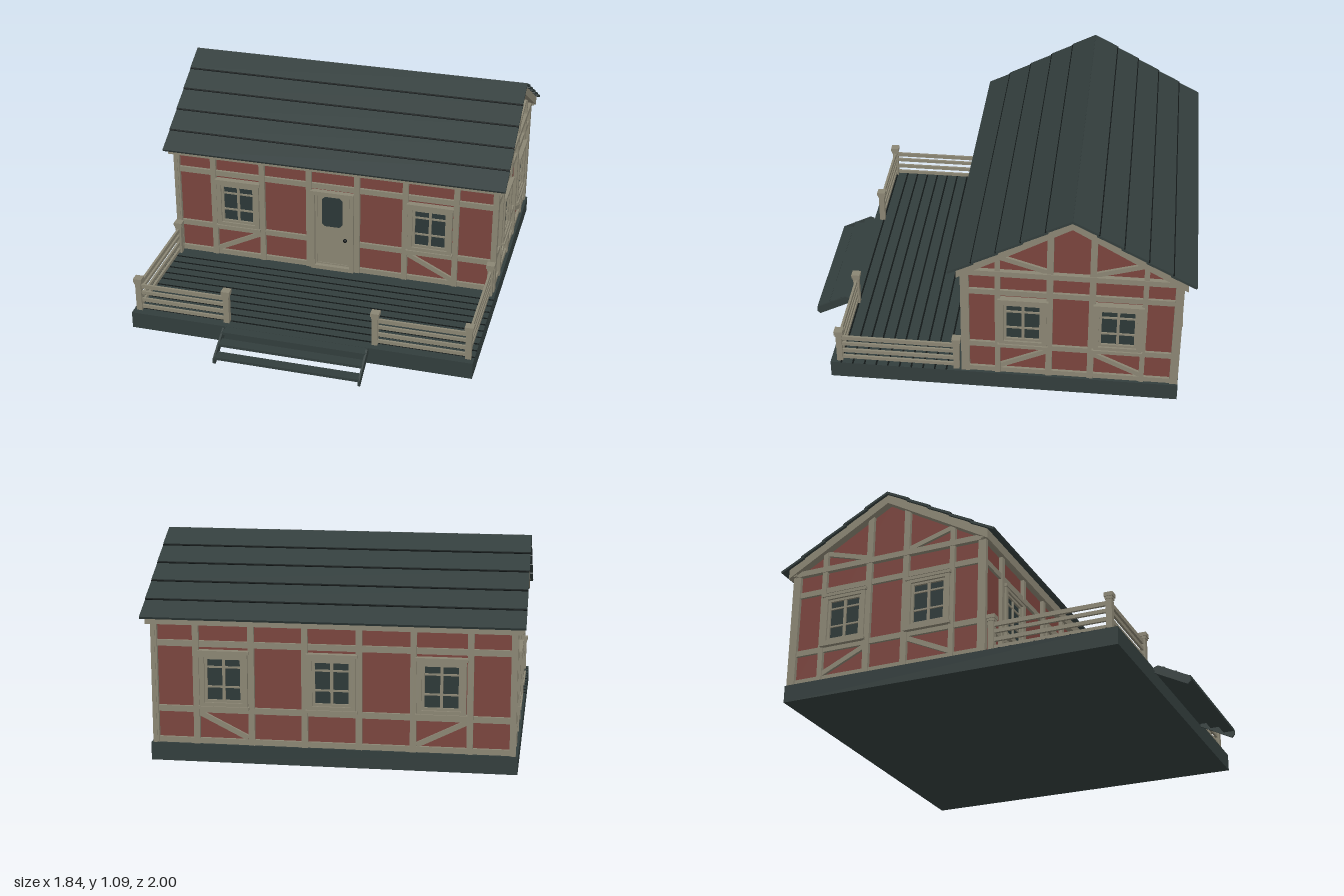
import * as THREE from 'three';

const material = (name, color, side = THREE.FrontSide) => {
  const m = new THREE.MeshStandardMaterial({ color, side });
  m.name = name;
  return m;
};
const red = material('red plaster', 0x7a443d);
const timber = material('weathered timber', 0x8a8573);
const slate = material('dark green boards', 0x323d3c);
const glass = material('dark glass', 0x2c3837);
const black = material('black seams', 0x121717);

const BASE_TOP = 0.115, RIDGE_Z = -0.4, SLOPE = Math.PI / 6;

function group(parent, name, x = 0, y = 0, z = 0, ry = 0) {
  const g = new THREE.Group();
  g.name = name;
  g.position.set(x, y, z);
  g.rotation.y = ry;
  parent.add(g);
  return g;
}

function box(parent, name, mat, w, h, d, x, y, z) {
  const m = new THREE.Mesh(new THREE.BoxGeometry(w, h, d), mat);
  m.name = name;
  m.position.set(x, y, z);
  parent.add(m);
  return m;
}

// box spanning x0..x1 and y0..y1 on a wall, standing out from z = 0
function slab(parent, name, mat, x0, x1, y0, y1, depth, z = 0) {
  return box(parent, name, mat, x1 - x0, y1 - y0, depth, (x0 + x1) / 2, (y0 + y1) / 2, z + depth / 2);
}

// slanted beam between two points of a wall
function brace(parent, x0, y0, x1, y1) {
  const m = box(parent, 'brace', timber, Math.hypot(x1 - x0, y1 - y0), 0.025, 0.016,
    (x0 + x1) / 2, (y0 + y1) / 2, 0.006);
  m.rotation.z = Math.atan2(y1 - y0, x1 - x0);
}

// outline in (z, y), extruded along x between -half and +half
function prism(parent, name, mat, points, half, x = 0) {
  const shape = new THREE.Shape(points.map(([z, y]) => new THREE.Vector2(-z, y)));
  const geo = new THREE.ExtrudeGeometry(shape, { depth: half * 2, bevelEnabled: false });
  geo.translate(0, 0, -half).rotateY(Math.PI / 2);
  const m = new THREE.Mesh(geo, mat);
  m.name = name;
  m.position.x = x;
  parent.add(m);
}

// rectangular frame with a mitre-free outline
function frame(parent, name, w, h, bar, depth, y, z = 0) {
  for (const s of [-1, 1]) {
    box(parent, name, timber, bar, h, depth, s * (w - bar) / 2, y, z + depth / 2);
    box(parent, name, timber, w - 2 * bar, bar, depth, 0, y + s * (h - bar) / 2, z + depth / 2);
  }
}

function addWindow(wall, x) {
  const g = group(wall, 'window', x, 0.44, 0);
  box(g, 'glass', glass, 0.19, 0.24, 0.006, 0, 0, 0.004);
  frame(g, 'windowFrame', 0.236, 0.275, 0.024, 0.028, 0);
  frame(g, 'sash', 0.19, 0.23, 0.014, 0.018, 0);
  box(g, 'mullion', timber, 0.014, 0.23, 0.014, 0, 0, 0.008);
  for (const y of [-0.036, 0.062]) box(g, 'glazingBar', timber, 0.18, 0.009, 0.012, 0, y, 0.008);
  box(g, 'lintel', timber, 0.25, 0.016, 0.034, 0, 0.138, 0.017);
  box(g, 'sill', timber, 0.25, 0.014, 0.036, 0, -0.138, 0.018);
}

function addDoor(wall) {
  const g = group(wall, 'door', -0.002, 0, 0);
  slab(g, 'doorLeaf', timber, -0.1, 0.1, 0.14, 0.575, 0.012);
  frame(g, 'doorFrame', 0.236, 0.475, 0.022, 0.03, 0.3525);
  frame(g, 'doorLeafEdge', 0.184, 0.425, 0.008, 0.004, 0.355, 0.012);
  // glazed panel with stepped-in corners
  const w = 0.056, h = 0.088, c = 0.016;
  const shape = new THREE.Shape();
  shape.moveTo(-w + c, -h);
  [[w - c, -h], [w, -h + c], [w, h - c], [w - c, h], [-w + c, h], [-w, h - c], [-w, -h + c]]
    .forEach(([x, y]) => shape.lineTo(x, y));
  const pane = new THREE.Mesh(new THREE.ExtrudeGeometry(shape, { depth: 0.005, bevelEnabled: false }), glass);
  pane.name = 'doorGlass';
  pane.position.set(-0.002, 0.467, 0.0115);
  g.add(pane);
  const knob = new THREE.Mesh(new THREE.SphereGeometry(0.011, 12, 8), black);
  knob.name = 'doorKnob';
  knob.position.set(0.072, 0.308, 0.024);
  g.add(knob);
}

// long wall, front or back
function longWall(house, name, z, ry, isFront) {
  const wall = group(house, name, 0, 0, z, ry);
  for (const s of [-1, 1]) {
    for (const x of [0.87, 0.665, 0.393, 0.132])
      slab(wall, 'post', timber, s * x - 0.015, s * x + 0.015, BASE_TOP, 0.75, 0.02);
    addWindow(wall, s * 0.528);
    if (isFront) brace(wall, s * 0.65, 0.15, s * 0.41, 0.27);
    else brace(wall, s * 0.65, 0.27, s * 0.41, 0.15);
  }
  slab(wall, 'upperRail', timber, -0.87, 0.87, 0.6, 0.63, 0.014);
  slab(wall, 'eavesBeam', timber, -0.9, 0.9, 0.722, 0.755, 0.035);
  const spans = isFront ? [[-0.87, -0.13], [0.13, 0.87]] : [[-0.87, 0.87]];
  for (const [a, b] of spans) {
    slab(wall, 'middleRail', timber, a, b, 0.272, 0.302, 0.014);
    slab(wall, 'bottomRail', timber, a, b, BASE_TOP, 0.143, 0.014);
  }
  if (isFront) addDoor(wall);
  else addWindow(wall, 0);
}

// gable end wall
function gableWall(house, name, x, ry) {
  const wall = group(house, name, x, 0, RIDGE_Z, ry);
  for (const s of [-1, 1]) {
    for (const [u, top, half] of [[0.522, 0.75, 0.021], [0.36, 0.835, 0.013], [0.104, 0.985, 0.016]])
      slab(wall, 'post', timber, s * u - half, s * u + half, BASE_TOP, top, 0.02);
    addWindow(wall, s * 0.234);
    brace(wall, s * 0.35, 0.155, s * 0.115, 0.265);
    brace(wall, s * 0.36, 0.83, s * 0.11, 0.755);
  }
  for (const [y0, y1, d] of [[BASE_TOP, 0.143, 0.014], [0.272, 0.302, 0.014], [0.6, 0.63, 0.014], [0.72, 0.75, 0.024]])
    slab(wall, 'rail', timber, -0.53, 0.53, y0, y1, d);
}

function addRoof(house) {
  const roof = group(house, 'roof', 0, 0, 0);
  const t = Math.tan(SLOPE), u = 0.56;
  prism(roof, 'roofFrame', timber, [
    [RIDGE_Z + u, 1.085 - t * u], [RIDGE_Z, 1.085], [RIDGE_Z - u, 1.085 - t * u],
    [RIDGE_Z - u, 1.035 - t * u], [RIDGE_Z, 1.035], [RIDGE_Z + u, 1.035 - t * u]], 0.907);
  // five lapped boards on each slope
  const L = 0.1375;
  for (const ry of [0, Math.PI]) {
    const side = group(roof, 'roofSide', 0, 1.091, RIDGE_Z, ry);
    const pitch = group(side, 'roofPitch');
    pitch.rotation.x = SLOPE;
    for (let i = 0; i < 5; i++) {
      const board = box(pitch, 'roofBoard', slate, 1.844, 0.012, L + 0.004, 0, 0, L * (i + 0.5));
      board.rotation.x = -0.05;
      if (i < 4) box(pitch, 'roofSeam', black, 1.844, 0.006, 0.008, 0, 0.0045, L * (i + 1) + 0.005);
    }
  }
}

function railPost(parent, x, z) {
  box(parent, 'railPost', timber, 0.03, 0.17, 0.03, x, 0.2, z);
  box(parent, 'railPostNeck', timber, 0.036, 0.014, 0.036, x, 0.278, z);
  box(parent, 'railPostCap', timber, 0.044, 0.02, 0.044, x, 0.294, z);
}

function addPorch(root) {
  const porch = group(root, 'porch');
  // deck board joints
  for (let i = 0; i < 10; i++)
    box(porch, 'deckSeam', black, 1.79, 0.004, 0.008, 0, BASE_TOP, 0.22 + i * 0.06);
  for (const s of [-1, 1]) {
    const side = group(porch, s > 0 ? 'leftRailing' : 'rightRailing');
    for (const [x, z] of [[0.865, 0.17], [0.865, 0.768], [0.39, 0.768]]) railPost(side, s * x, z);
    for (const [y, h] of [[0.135, 0.018], [0.175, 0.02], [0.218, 0.018], [0.255, 0.022]]) {
      box(side, 'sideRail', timber, 0.012, h, 0.6, s * 0.865, y, 0.469);
      box(side, 'frontRail', timber, 0.475, h, 0.012, s * 0.628, y, 0.768);
    }
  }
  // steps on two slanted stringers
  const steps = group(porch, 'steps', -0.012);
  for (const s of [-1, 1])
    prism(steps, 'stringer', slate, [[0.985, 0], [0.82, 0.085], [0.82, 0.115], [0.84, 0.122], [1, 0.04], [1, 0.014]],
      0.005, s * 0.376);
  [[0.84, 0.107, 0.058], [0.902, 0.075, 0.056], [0.97, 0.04, 0.056]].forEach(([z, y, d]) => {
    box(steps, 'tread', slate, 0.75, 0.014, d, 0, y, z);
  });
}

export function createModel() {
  const root = new THREE.Group();
  root.name = 'cabin';
  box(root, 'base', slate, 1.79, 0.09, 1.76, 0, 0.07, -0.065);

  const house = group(root, 'house');
  prism(house, 'walls', red, [[0.12, 0.1], [0.12, 0.75], [RIDGE_Z, 1.05], [-0.92, 0.75], [-0.92, 0.1]], 0.865);
  longWall(house, 'frontWall', 0.12, 0, true);
  longWall(house, 'backWall', -0.92, Math.PI, false);
  gableWall(house, 'leftWall', 0.865, Math.PI / 2);
  gableWall(house, 'rightWall', -0.865, -Math.PI / 2);
  addRoof(house);
  addPorch(root);
  return root;
}
